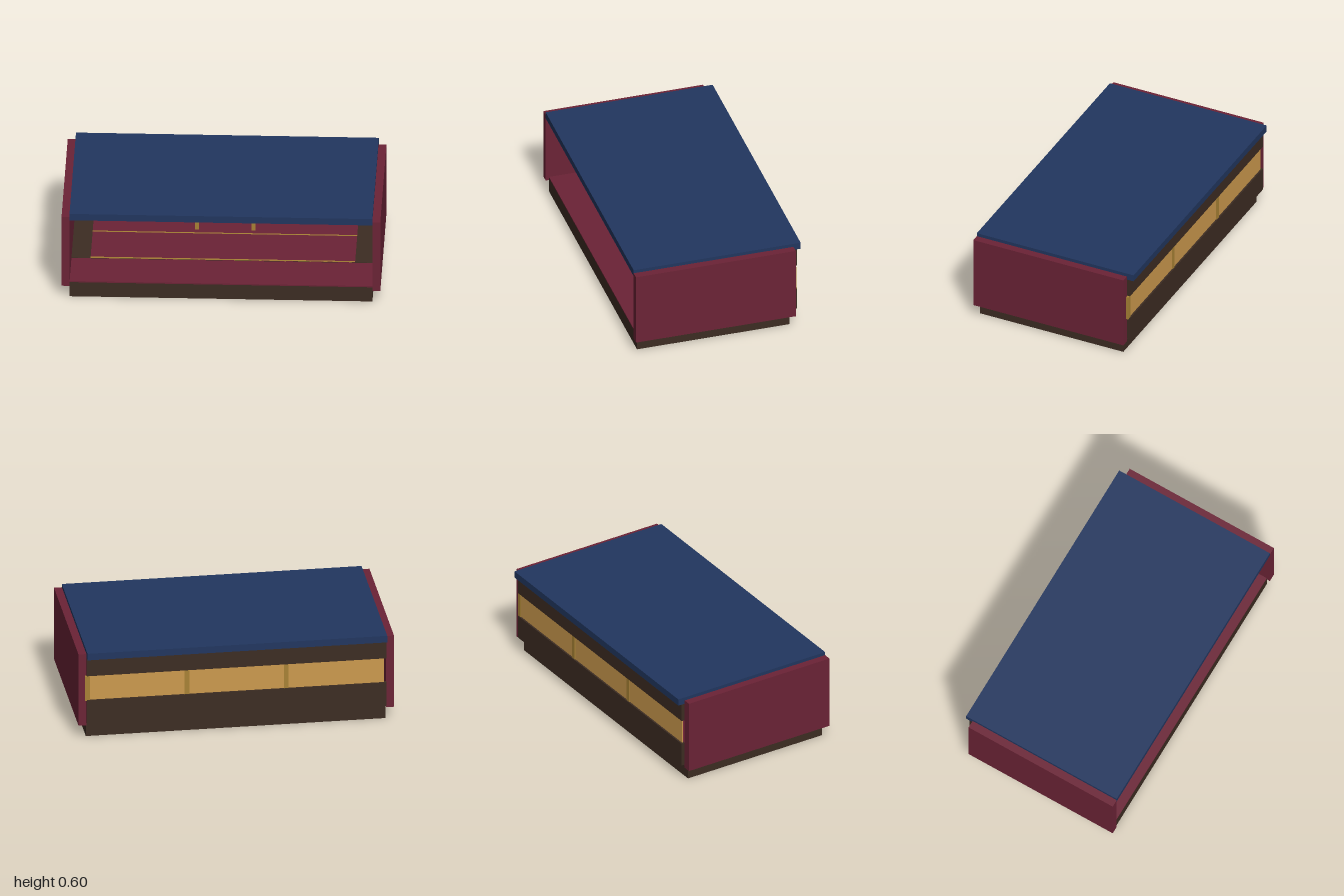
import * as THREE from 'three';

const mat = (name, color) => {
  const m = new THREE.MeshStandardMaterial({ color });
  m.name = name;
  return m;
};

export function createModel() {
  const root = new THREE.Group();
  root.name = 'openHall';
  const navy = mat('navy', 0x21365f);
  const crimson = mat('crimson', 0x6b2336);
  const darkWood = mat('darkWood', 0x3c2c22);
  const gold = mat('gold', 0xa88235);
  const amber = mat('amberGlass', 0xcc9a4e);

  // Box given by its limits on each axis
  const box = (name, material, [x0, x1], [y0, y1], [z0, z1], parent = root) => {
    const mesh = new THREE.Mesh(new THREE.BoxGeometry(x1 - x0, y1 - y0, z1 - z0), material);
    mesh.position.set((x0 + x1) / 2, (y0 + y1) / 2, (z0 + z1) / 2);
    mesh.name = name;
    parent.add(mesh);
    return mesh;
  };
  const group = (name) => {
    const g = new THREE.Group();
    g.name = name;
    root.add(g);
    return g;
  };

  // Shell: plinth, floor, roof and side walls
  box('plinth', darkWood, [-0.95, 0.95], [0, 0.1], [-0.475, 0.525]);
  box('floor', crimson, [-0.95, 0.95], [0.1, 0.108], [-0.5, 0.525]);
  box('roof', navy, [-0.95, 0.95], [0.55, 0.595], [-0.547, 0.547]);
  for (const s of [-1, 1]) {
    box(s > 0 ? 'leftWall' : 'rightWall', crimson,
      [s * 0.975 - 0.025, s * 0.975 + 0.025], [0.085, 0.573], [-0.5, 0.547]);
  }

  // Inner floor boards with a carpet and its two gold stripes
  box('innerFloor', darkWood, [-0.95, 0.95], [0.108, 0.11], [-0.5, 0.215]);
  box('carpet', crimson, [-0.83, 0.83], [0.11, 0.113], [-0.48, 0.215]);
  for (const z of [0.21, -0.14]) {
    box('carpetStripe', gold, [-0.83, 0.83], [0.11, 0.115], [z - 0.005, z + 0.005]);
  }

  // Back wall: two bands with a window row between them
  box('backWallLower', darkWood, [-0.95, 0.95], [0.108, 0.264], [-0.522, -0.498]);
  box('backWallUpper', darkWood, [-0.95, 0.95], [0.43, 0.55], [-0.522, -0.498]);
  for (let i = -1; i <= 1; i++) {
    const x = i * 0.63;
    box('windowPane', amber, [x - 0.305, x + 0.3], [0.264, 0.43], [-0.511, -0.503]);
    box('mullion', gold, [x + 0.3, x + 0.33], [0.26, 0.425], [-0.516, -0.497]);
  }

  // Pointed banners hanging in front of the back wall
  const outline = new THREE.Shape([
    [-0.083, 0.54], [-0.083, 0.25], [0, 0.217], [0.083, 0.25], [0.083, 0.54],
  ].map(([x, y]) => new THREE.Vector2(x, y)));
  const bannerGeometry = new THREE.ExtrudeGeometry(outline, { depth: 0.008, bevelEnabled: false });
  for (const x of [-0.737, 0.737]) {
    const banner = new THREE.Mesh(bannerGeometry, gold);
    banner.position.set(x, 0, -0.492);
    banner.name = 'banner';
    root.add(banner);
  }

  // Table: crimson top with a gold sheet, on four legs
  const table = group('table');
  box('tableTop', crimson, [-0.19, 0.19], [0.215, 0.23], [-0.34, -0.18], table);
  box('tableTrim', gold, [-0.2, 0.2], [0.23, 0.237], [-0.35, -0.17], table);
  for (const x of [-0.178, 0.178]) {
    for (const z of [-0.32, -0.2]) {
      box('tableLeg', gold, [x - 0.012, x + 0.012], [0.11, 0.215], [z - 0.012, z + 0.012], table);
    }
  }

  // High-backed chair behind the table
  const chair = group('chair');
  box('chairSeat', crimson, [-0.057, 0.057], [0.11, 0.185], [-0.45, -0.36], chair);
  box('chairBack', crimson, [-0.063, 0.063], [0.11, 0.348], [-0.475, -0.45], chair);
  box('chairCap', gold, [-0.072, 0.072], [0.348, 0.356], [-0.48, -0.445], chair);

  return root;
}
